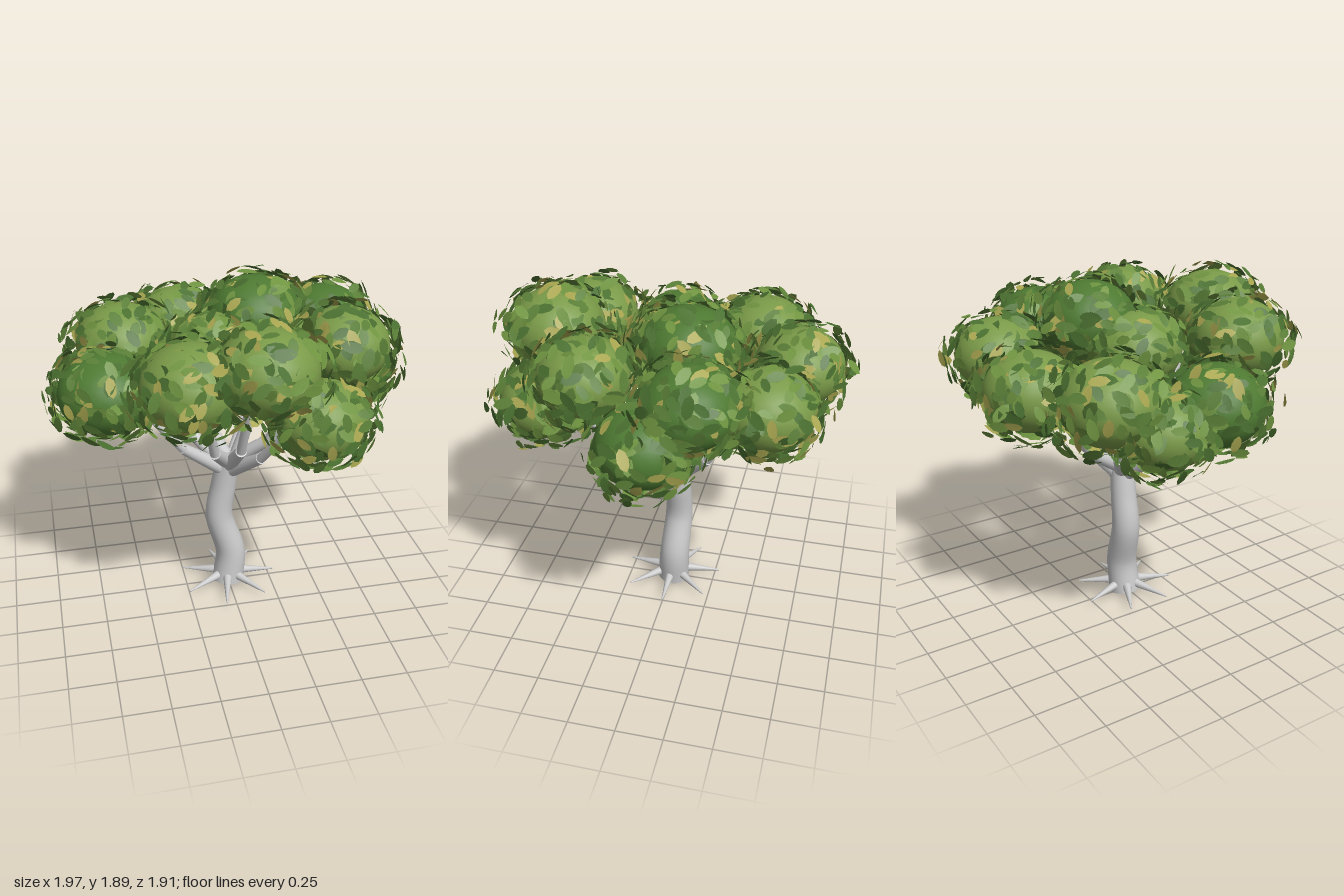
import * as THREE from 'three';
import { mergeGeometries } from 'three/addons/utils/BufferGeometryUtils.js';

const V = (x, y, z) => new THREE.Vector3(x, y, z);
const UP = V(0, 1, 0);
const OUT = V(0, 0, 1);

// Small seeded generator
function makeRandom(seed) {
  return () => {
    seed = (seed * 1664525 + 1013904223) % 4294967296;
    return seed / 4294967296;
  };
}

// Foliage clumps: x, y, z, radius, dark or light, carried by a branch or not
const CLUMPS = [
  [-0.66, 1.35, 0.1, 0.26, 1, 1],
  [-0.65, 1.28, -0.2, 0.24, 0, 0],
  [-0.52, 1.42, -0.42, 0.265, 0, 1],
  [-0.17, 1.42, -0.66, 0.25, 0, 1],
  [0.38, 1.45, -0.57, 0.25, 0, 1],
  [0.59, 1.53, -0.22, 0.25, 1, 0],
  [0.67, 1.34, -0.02, 0.25, 1, 1],
  [0.53, 1.6, 0.31, 0.24, 0, 1],
  [0.34, 1.34, 0.59, 0.24, 0, 1],
  [0.06, 1.62, 0.6, 0.26, 0, 1],
  [-0.29, 1.54, 0.52, 0.26, 0, 1],
  [0.17, 1.63, -0.13, 0.26, 1, 0],
  [-0.07, 1.5, 0.02, 0.25, 0, 0],
];
const SQUASH = 0.83;

// Tube along a curve whose radius follows a rule
function taperedTube(points, radiusAt, rings, sides) {
  const curve = new THREE.CatmullRomCurve3(points);
  const geo = new THREE.TubeGeometry(curve, rings, 1, sides);
  const pos = geo.attributes.position;
  const p = V(0, 0, 0);
  for (let i = 0; i <= rings; i++) {
    const centre = curve.getPointAt(i / rings);
    for (let j = 0; j <= sides; j++) {
      const k = i * (sides + 1) + j;
      p.fromBufferAttribute(pos, k).sub(centre).multiplyScalar(radiusAt(i / rings)).add(centre);
      pos.setXYZ(k, p.x, p.y, p.z);
    }
  }
  return { geo, curve };
}

// Straight tapered limb between two points
function limb(a, b, r0, r1, sides = 12) {
  const d = b.clone().sub(a);
  const geo = new THREE.CylinderGeometry(r1, r0, d.length(), sides);
  geo.applyQuaternion(new THREE.Quaternion().setFromUnitVectors(UP, d.normalize()));
  const mid = a.clone().lerp(b, 0.5);
  return geo.translate(mid.x, mid.y, mid.z);
}

// Blunt oval leaf, slightly cupped
function leafGeometry() {
  const s = new THREE.Shape();
  s.moveTo(0, -0.056);
  s.bezierCurveTo(0.038, -0.044, 0.038, 0.04, 0, 0.056);
  s.bezierCurveTo(-0.038, 0.04, -0.038, -0.044, 0, -0.056);
  const geo = new THREE.ShapeGeometry(s, 4);
  const pos = geo.attributes.position;
  for (let i = 0; i < pos.count; i++) {
    pos.setZ(i, -3 * pos.getY(i) ** 2 - 5 * pos.getX(i) ** 2);
  }
  geo.computeVertexNormals();
  return geo;
}

export function createModel() {
  const tree = new THREE.Group();
  const bark = new THREE.MeshStandardMaterial({ color: 0xcccccc });
  const add = (name, geo, mat) => {
    const mesh = new THREE.Mesh(geo, mat);
    mesh.name = name;
    tree.add(mesh);
  };

  // Curving trunk with closed ends
  const trunk = taperedTube(
    [V(0, 0.012, -0.01), V(0.018, 0.2, -0.02), V(-0.046, 0.45, -0.033), V(-0.02, 0.65, -0.032), V(0.012, 0.85, -0.02)],
    (t) => 0.092 - 0.026 * t, 32, 20);
  add('trunk', trunk.geo, bark);
  [[0, -1, 0.092], [1, 1, 0.066]].forEach(([t, dir, r]) => {
    const cap = new THREE.CircleGeometry(r, 20);
    const n = trunk.curve.getTangentAt(t).multiplyScalar(dir);
    cap.applyQuaternion(new THREE.Quaternion().setFromUnitVectors(OUT, n));
    const c = trunk.curve.getPointAt(t);
    add(t ? 'trunkTop' : 'trunkBase', cap.translate(c.x, c.y, c.z), bark);
  });

  // Ring of pointed roots
  const roots = [];
  for (let i = 0; i < 7; i++) {
    const a = (i * Math.PI * 2) / 7;
    const at = (r, y) => V(r * Math.cos(a), y, r * Math.sin(a) - 0.005);
    roots.push(limb(at(0.06, 0.063), at(0.28, 0.034), 0.027, 0.004));
  }
  add('roots', mergeGeometries(roots), bark);

  // Branches: a thick length, then a thinner one reaching towards its clump
  const branches = [];
  CLUMPS.filter((c) => c[5]).forEach(([x, y, z], i) => {
    const start = V(0.005, 0.74 + 0.03 * (i % 3), -0.025);
    const elbow = V(x * 0.39, 0.95 + (y - 1.4) * 0.2, z * 0.39 - 0.01);
    const tip = V(x * 0.71, y - 0.14, z * 0.71);
    branches.push(limb(start, elbow, 0.045, 0.031), limb(elbow, tip, 0.027, 0.018));
  });
  // Upright branch into the middle of the crown
  branches.push(limb(V(0.03, 0.74, -0.04), V(0.12, 1.0, -0.06), 0.045, 0.034));
  branches.push(limb(V(0.12, 1.0, -0.06), V(0.17, 1.5, -0.13), 0.027, 0.018));
  add('branches', mergeGeometries(branches), bark);

  // Foliage clumps
  const clumpMats = [0x7a9a48, 0x4e7a32].map((color) => new THREE.MeshStandardMaterial({ color }));
  CLUMPS.forEach(([x, y, z, r, dark]) => {
    const geo = new THREE.SphereGeometry(r * 0.97, 28, 18).scale(1, SQUASH, 1).translate(x, y, z);
    add('foliageClump', geo, clumpMats[dark]);
  });

  // Loose leaves in a deep shell round every clump, hanging lower than they rise
  const random = makeRandom(7);
  const spread = (s) => (random() * 2 - 1) * s;
  const leaf = leafGeometry();
  const shades = [0x4a7030, 0x6f9440, 0x5b8038, 0xa8a650];
  const batches = shades.map(() => []);
  const perClump = 230;
  CLUMPS.forEach(([x, y, z, r], own) => {
    for (let i = 0; i < perClump; i++) {
      const h = 1 - (2 * (i + 0.5)) / perClump;
      const a = i * 2.39996 + spread(0.5);
      const w = Math.sqrt(1 - h * h);
      const n = V(w * Math.cos(a), h, w * Math.sin(a));
      const d = r * (0.97 + 0.35 * random());
      const p = V(x + n.x * d, y + n.y * d * (h > 0 ? 0.76 : 0.87), z + n.z * d);
      const tilt = V(n.x + spread(0.35), n.y + spread(0.35), n.z + spread(0.35)).normalize();
      const q = new THREE.Quaternion().setFromUnitVectors(OUT, tilt)
        .multiply(new THREE.Quaternion().setFromAxisAngle(OUT, random() * Math.PI * 2));
      const size = 0.75 + random() * 0.35;
      const shade = random() < 0.14 ? 3 : Math.floor(random() * 3);
      // Skip leaves buried in a neighbouring clump
      const buried = CLUMPS.some(([cx, cy, cz, cr], k) =>
        k !== own && Math.hypot(p.x - cx, (p.y - cy) / SQUASH, p.z - cz) < cr * 0.85);
      if (buried) continue;
      batches[shade].push(leaf.clone().applyMatrix4(
        new THREE.Matrix4().compose(p, q, V(size, size, size))));
    }
  });
  batches.forEach((batch, i) => add('leaves', mergeGeometries(batch),
    new THREE.MeshStandardMaterial({ color: shades[i], side: THREE.DoubleSide })));

  return tree;
}
